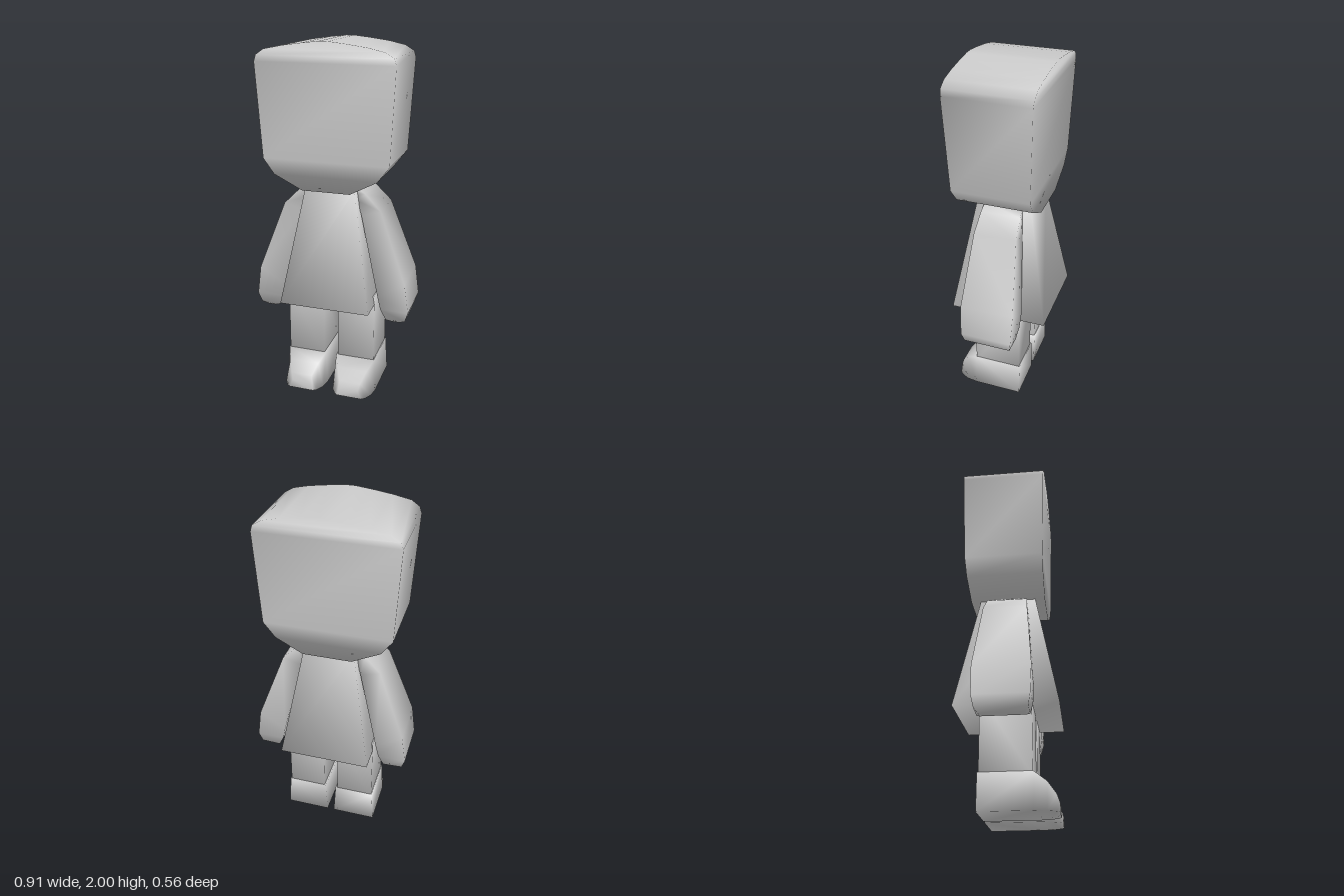
import * as THREE from 'three';

// Smooth closed skin through a list of cross-sections, each a loop of [x, y, z] points
function loft(name, rings) {
  const n = rings[0].length, index = [];
  const pts = rings.flat();
  for (let r = 0; r < rings.length - 1; r++) {
    for (let i = 0; i < n; i++) {
      const j = (i + 1) % n, a = r * n + i, b = r * n + j;
      index.push(a, b, b + n, a, b + n, a + n);
    }
  }
  const last = (rings.length - 1) * n;
  for (let i = 1; i < n - 1; i++) {
    index.push(0, i + 1, i, last, last + i, last + i + 1);
  }
  // Turn the faces outward if the volume comes out negative
  const v = pts.map(p => new THREE.Vector3(...p));
  let volume = 0;
  for (let i = 0; i < index.length; i += 3) {
    volume += v[index[i]].dot(v[index[i + 1]].clone().cross(v[index[i + 2]]));
  }
  if (volume < 0) index.reverse();

  const geometry = new THREE.BufferGeometry();
  geometry.setAttribute('position', new THREE.Float32BufferAttribute(pts.flat(), 3));
  geometry.setIndex(index);
  geometry.computeVertexNormals();
  const mesh = new THREE.Mesh(geometry, new THREE.MeshStandardMaterial({ color: 0xcccccc }));
  mesh.name = name;
  return mesh;
}

// Four-cornered section between two points in the front plane, with half depth hz
const slab = (x0, y0, x1, y1, hz) => [[x0, y0, hz], [x1, y1, hz], [x1, y1, -hz], [x0, y0, -hz]];
// Level rectangle
const level = (y, x0, x1, z0, z1) => [[x0, y, z1], [x1, y, z1], [x1, y, z0], [x0, y, z0]];
// Upright rectangle across the foot, narrower on top
const upright = (z, x0, x1, inset, top) =>
  [[x0, 0, z], [x1, 0, z], [x1 - inset, top, z], [x0 + inset, top, z]];
const mirror = (rings, side) => rings.map(r => r.map(([x, y, z]) => [x * side, y, z]));

export function createModel() {
  const model = new THREE.Group();
  model.name = 'figure';

  // Head: blocky, with a narrowed chin and a gently domed crown
  model.add(loft('head', [
    [1.21, -0.14, 0.13, 0.21], [1.29, -0.30, 0.28, 0.213], [1.375, -0.36, 0.345, 0.216],
    [1.89, -0.387, 0.371, 0.231], [1.925, -0.375, 0.36, 0.233], [1.955, -0.33, 0.31, 0.234],
    [1.975, -0.23, 0.22, 0.234], [1.99, -0.12, 0.11, 0.235], [2.0, -0.03, 0.02, 0.235],
  ].map(([y, x0, x1, hz]) => level(y, x0, x1, -hz, hz))));

  // Body: flared dress
  model.add(loft('dress', [
    level(0.55, -0.258, 0.258, -0.279, 0.279),
    level(1.215, -0.14, 0.14, -0.155, 0.155),
  ]));

  const arm = [
    slab(0.135, 1.19, 0.14, 1.22, 0.108),
    slab(0.145, 1.15, 0.19, 1.19, 0.112),
    slab(0.17, 1.07, 0.28, 1.10, 0.12),
    slab(0.278, 0.61, 0.43, 0.70, 0.152),
    slab(0.295, 0.53, 0.454, 0.53, 0.147),
    slab(0.325, 0.465, 0.435, 0.47, 0.135),
    slab(0.36, 0.449, 0.40, 0.449, 0.115),
  ];
  const leg = [level(0.17, 0.042, 0.258, -0.133, 0.138), level(0.6, 0.042, 0.258, -0.133, 0.138)];
  const shoe = [
    upright(-0.139, 0.02, 0.275, 0.012, 0.195),
    upright(0.14, 0.02, 0.275, 0.012, 0.195),
    upright(0.205, 0.03, 0.265, 0.03, 0.15),
    upright(0.25, 0.055, 0.24, 0.03, 0.09),
    upright(0.264, 0.075, 0.22, 0.02, 0.05),
  ];

  // Paired limbs
  for (const [label, side] of [['left', 1], ['right', -1]]) {
    model.add(loft(label + 'Arm', mirror(arm, side)));
    model.add(loft(label + 'Leg', mirror(leg, side)));
    model.add(loft(label + 'Shoe', mirror(shoe, side)));
  }
  return model;
}
